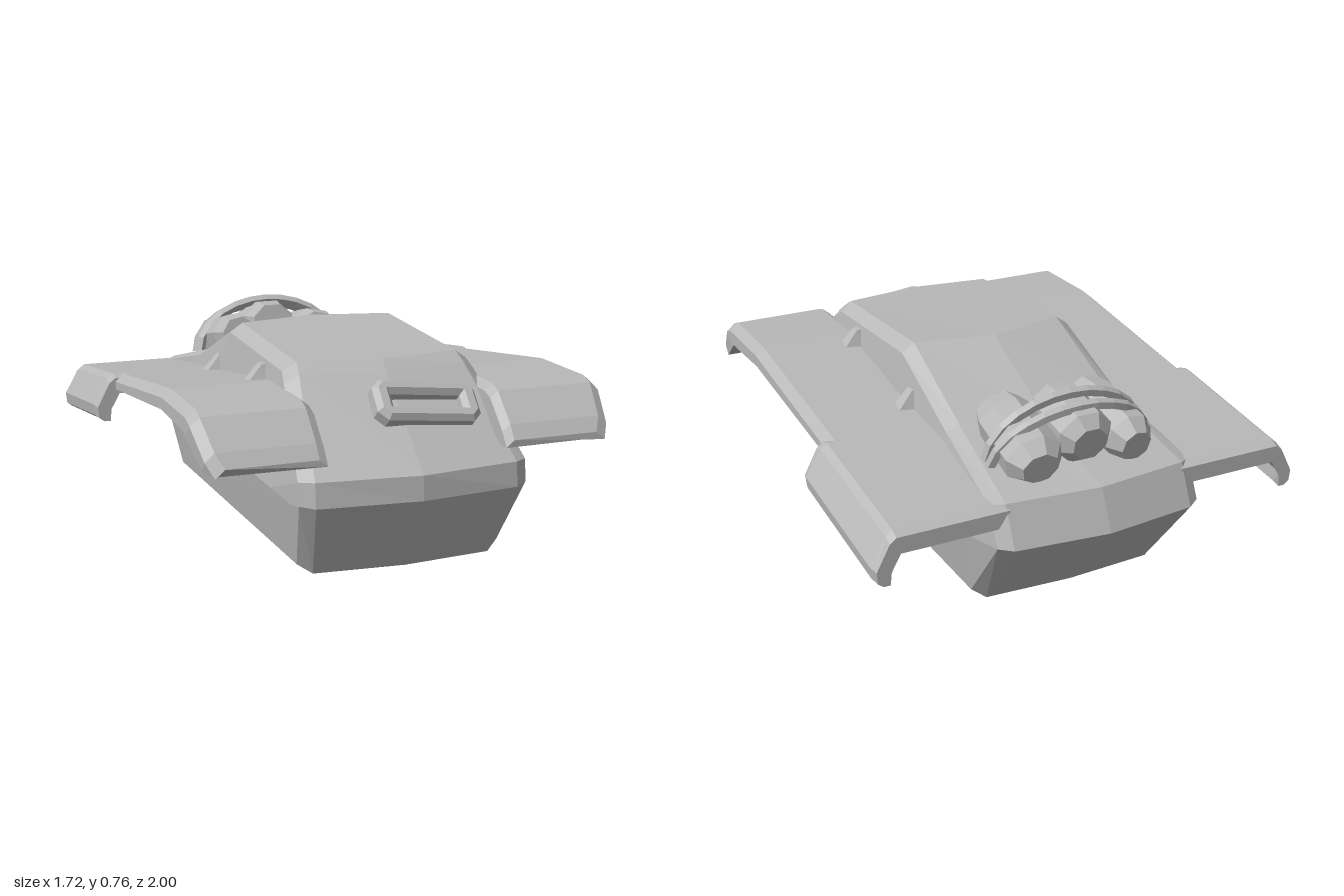
import * as THREE from 'three';
import { ConvexGeometry } from 'three/addons/geometries/ConvexGeometry.js';

// Flat-faced skin over a list of equal-length rings, turned to face outwards
function loft(rings, caps) {
  const tris = [], n = rings[0].length;
  for (let r = 0; r < rings.length - 1; r++) {
    for (let i = 0; i < n; i++) {
      const j = (i + 1) % n, a = rings[r], b = rings[r + 1];
      tris.push([a[i], a[j], b[j]], [a[i], b[j], b[i]]);
    }
  }
  if (caps) {
    const cap = (ring, flip) => {
      const outline = ring.map(p => new THREE.Vector2(p.x, p.y));
      // keep each face wound against its neighbouring strip
      const ccw = THREE.ShapeUtils.area(outline) > 0;
      for (const f of THREE.ShapeUtils.triangulateShape(outline, [])) {
        const t = f.map(k => ring[k]);
        const area = THREE.ShapeUtils.area(t.map(p => new THREE.Vector2(p.x, p.y)));
        tris.push((area > 0) === ccw ? (flip ? t.reverse() : t) : (flip ? t : t.reverse()));
      }
    };
    cap(rings[0], true);
    cap(rings[rings.length - 1], false);
  }
  const volume = tris.reduce((v, [a, b, c]) => v + a.dot(b.clone().cross(c)), 0);
  if (volume < 0) tris.forEach(t => t.reverse());
  const geo = new THREE.BufferGeometry().setFromPoints(tris.flat());
  geo.computeVertexNormals();
  return geo;
}

const V = (x, y, z) => new THREE.Vector3(x, y, z);

// Side outline of the hull: z, y, half width, forward shift on the centre line
const HULL = [
  [0.82, 0.03, 0.39, 0.03], [0.96, 0.31, 0.43, 0.04], [0.95, 0.40, 0.43, 0.045],
  [0.63, 0.70, 0.37, 0.03], [0.58, 0.735, 0.36, 0.04], [-0.05, 0.77, 0.36, -0.07],
  [-0.46, 0.59, 0.37, -0.04], [-0.89, 0.48, 0.41, -0.04], [-0.96, 0.33, 0.41, -0.04],
  [-0.71, 0.01, 0.39, -0.02],
];

function hullGeometry() {
  const clamp = THREE.MathUtils.clamp;
  const ridge = s => HULL.map(([z]) => V(s * 0.43, 0.3, clamp(z, -0.72, 0.86)));
  const edge = s => HULL.map(([z, y, w]) => V(s * w, y + (0.38 - y) * 0.09, z * 0.965));
  const shoulder = s => HULL.map(([z, y, w]) => V(s * (w - 0.05), y, z));
  const centre = HULL.map(([z, y, , d]) => V(0, y, z + d));
  return loft([ridge(1), edge(1), shoulder(1), centre, shoulder(-1), edge(-1), ridge(-1)]);
}

// Front fender stations: top z, top y, bottom z, bottom y, outer half width
const FENDER = [
  [0.955, 0.48, 0.93, 0.45, 0.73], [0.92, 0.53, 0.89, 0.465, 0.755],
  [0.82, 0.63, 0.76, 0.55, 0.775], [0.77, 0.648, 0.74, 0.565, 0.775],
  [0.46, 0.65, 0.45, 0.575, 0.775], [-0.30, 0.55, -0.30, 0.49, 0.775],
];

function frontFender(s) {
  return loft(FENDER.map(([z, t, zb, b, w]) => [
    V(s * 0.335, b, zb), V(s * 0.335, t - 0.025, z), V(s * 0.365, t, z),
    V(s * (w - 0.035), t, z), V(s * w, t - 0.03, z), V(s * w, b, zb),
  ]), true);
}

// Rear fender with its drooping outer flap: x, height below the top
const FLAP = [
  [0.35, 0], [0.775, 0], [0.80, -0.02], [0.86, -0.12], [0.855, -0.165],
  [0.835, -0.18], [0.80, -0.18], [0.805, -0.13], [0.76, -0.065], [0.35, -0.065],
];

function rearFender(s) {
  const stations = [[-0.26, 0.54, 0.02], [-0.30, 0.552, 0], [-0.87, 0.475, 0], [-0.905, 0.46, 0.02]];
  return loft(stations.map(([z, t, inset]) =>
    FLAP.map(([x, y]) => V(s * (x - (x > 0.8 ? inset / 2 : 0)), t + y * (1 - inset * 2), z))), true);
}

// Tapered gusset standing between hull and fender
function gusset(s, z, y) {
  return new ConvexGeometry([
    V(s * 0.34, y + 0.09, z - 0.02), V(s * 0.34, y + 0.09, z + 0.02),
    V(s * 0.38, y + 0.085, z - 0.02), V(s * 0.38, y + 0.085, z + 0.02),
    V(s * 0.445, y + 0.01, z - 0.03), V(s * 0.445, y + 0.01, z + 0.03),
    V(s * 0.34, y - 0.03, z - 0.065), V(s * 0.34, y - 0.03, z + 0.065),
  ]);
}

function chamferedRect(w, h, c, Type) {
  const x = w / 2, y = h / 2;
  return new Type([[-x + c, -y], [x - c, -y], [x, -y + c], [x, y - c],
    [x - c, y], [-x + c, y], [-x, y - c], [-x, -y + c]].map(p => new THREE.Vector2(...p)));
}

export function createModel() {
  const model = new THREE.Group();
  const grey = new THREE.MeshStandardMaterial({ color: 0xb8b8b8, flatShading: true });
  grey.name = 'plain grey';
  const add = (name, geo, parent = model) => {
    const mesh = new THREE.Mesh(geo, grey);
    mesh.name = name;
    parent.add(mesh);
    return mesh;
  };

  add('hull', hullGeometry());

  for (const [side, s] of [['left', 1], ['right', -1]]) {
    add(side + 'FrontFender', frontFender(s));
    add(side + 'RearFender', rearFender(s));
    add(side + 'FrontGusset', gusset(s, 0.37, 0.61));
    add(side + 'RearGusset', gusset(s, -0.155, 0.545));
  }

  // Vision port: a chamfered frame around a slot, lying on the front plate
  const frame = chamferedRect(0.37, 0.135, 0.025, THREE.Shape);
  frame.holes.push(chamferedRect(0.31, 0.085, 0.004, THREE.Path));
  const port = add('visionPort', new THREE.ExtrudeGeometry(frame, {
    depth: 0.04, bevelEnabled: true, bevelThickness: 0.02, bevelSize: 0.018, bevelSegments: 1,
  }));
  port.position.set(0.095, 0.58, 0.765);
  port.rotation.set(-0.82, 0.1, -0.05);

  // Stowed packs on the rear deck: x, y, z, width, height, length, yaw, roll
  const stowage = new THREE.Group();
  stowage.name = 'stowage';
  model.add(stowage);
  const packs = [
    [-0.19, 0.595, -0.66, 0.18, 0.18, 0.36, 0.05, 0.2],
    [-0.01, 0.63, -0.69, 0.21, 0.20, 0.28, 0, 0],
    [0.185, 0.595, -0.66, 0.21, 0.18, 0.37, -0.06, -0.2],
  ];
  for (const [x, y, z, w, h, l, yaw, roll] of packs) {
    const rings = [[-0.5, 0.62], [-0.34, 1], [0.3, 1], [0.5, 0.8]].map(([t, k]) =>
      Array.from({ length: 8 }, (_, i) => {
        const a = (i + 0.5) * Math.PI / 4;
        return V(Math.cos(a) * w * k * 0.54, Math.sin(a) * h * k * 0.54, t * l);
      }));
    const pack = add('pack', loft(rings, true), stowage);
    pack.position.set(x, y, z);
    pack.rotation.set(-0.22, yaw, roll);
  }

  // Two straps arching over the packs
  for (const [zEnd, zMid, top] of [[-0.69, -0.76, 0.72], [-0.65, -0.69, 0.745]]) {
    const points = Array.from({ length: 9 }, (_, i) => {
      const a = Math.PI * i / 8, up = Math.sin(a);
      return V(-0.315 * Math.cos(a), 0.53 + (top - 0.53) * up, zEnd + (zMid - zEnd) * up);
    });
    add('strap', new THREE.TubeGeometry(new THREE.CatmullRomCurve3(points), 12, 0.021, 5), stowage);
  }

  return model;
}
